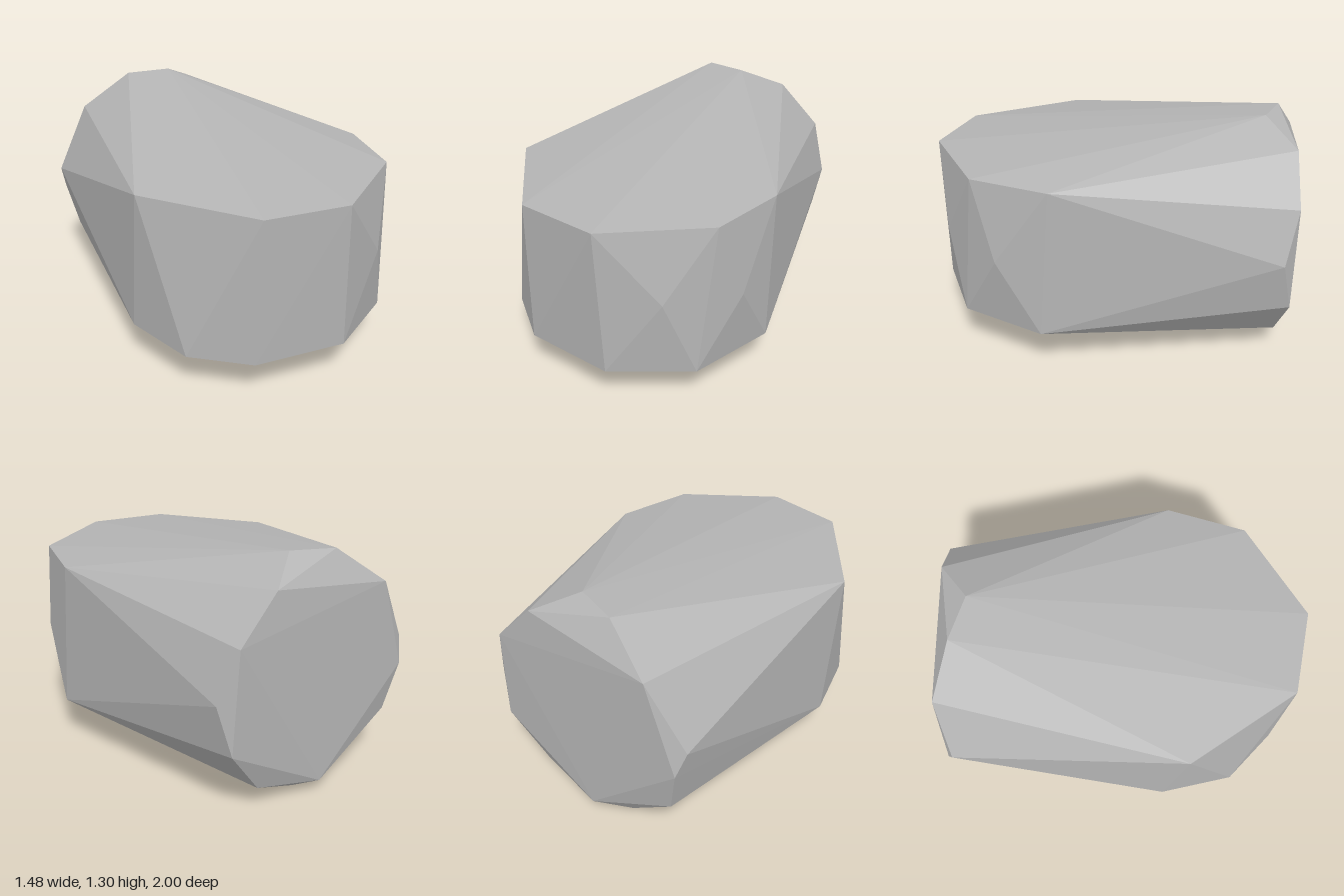
import * as THREE from 'three';
import { ConvexGeometry } from 'three/addons/geometries/ConvexGeometry.js';

// Corner positions of the faceted stone, [x, z] on the two front rings
const TOP_Y = 1.07;
const topRing = [[-0.74, 0.34], [-0.36, 0.91], [0.09, 1.0], [0.6, 0.68], [0.73, 0.25]];
const BOTTOM_Y = 0.25;
const bottomRing = [[-0.73, 0.23], [-0.64, 0.64], [-0.38, 0.89], [0.12, 0.98], [0.54, 0.77], [0.74, 0.31]];

// Chipped corner on the front left
const chip = [[0.4, 0.68, 0.88], [0.69, 0.64, 0.55]];

// Corners around the flat back end
const backEnd = [
  [0.09, 1.3, -0.82], [-0.15, 1.29, -0.9], [-0.42, 1.09, -1], [-0.63, 0.73, -0.95],
  [-0.59, 0.59, -1], [-0.53, 0.32, -0.96], [-0.23, 0.07, -0.91], [0.05, 0, -0.87],
  [-0.02, 0.07, -1], [0.36, 0.14, -0.94], [0.57, 0.41, -0.99], [0.63, 0.68, -0.94],
  [0.54, 0.96, -1], [0.31, 1.19, -0.985],
];

export function createModel() {
  const group = new THREE.Group();
  group.name = 'stone';

  const stoneGrey = new THREE.MeshStandardMaterial({ color: 0xb4b4b4 });
  stoneGrey.name = 'stone grey';

  // Stretch a convex, flat-faceted skin over all corners
  const corners = [
    ...topRing.map(([x, z]) => [x, TOP_Y, z]),
    ...bottomRing.map(([x, z]) => [x, BOTTOM_Y, z]),
    ...chip,
    ...backEnd,
  ].map((p) => new THREE.Vector3(...p));

  const rock = new THREE.Mesh(new ConvexGeometry(corners), stoneGrey);
  rock.name = 'rock';
  group.add(rock);
  return group;
}
